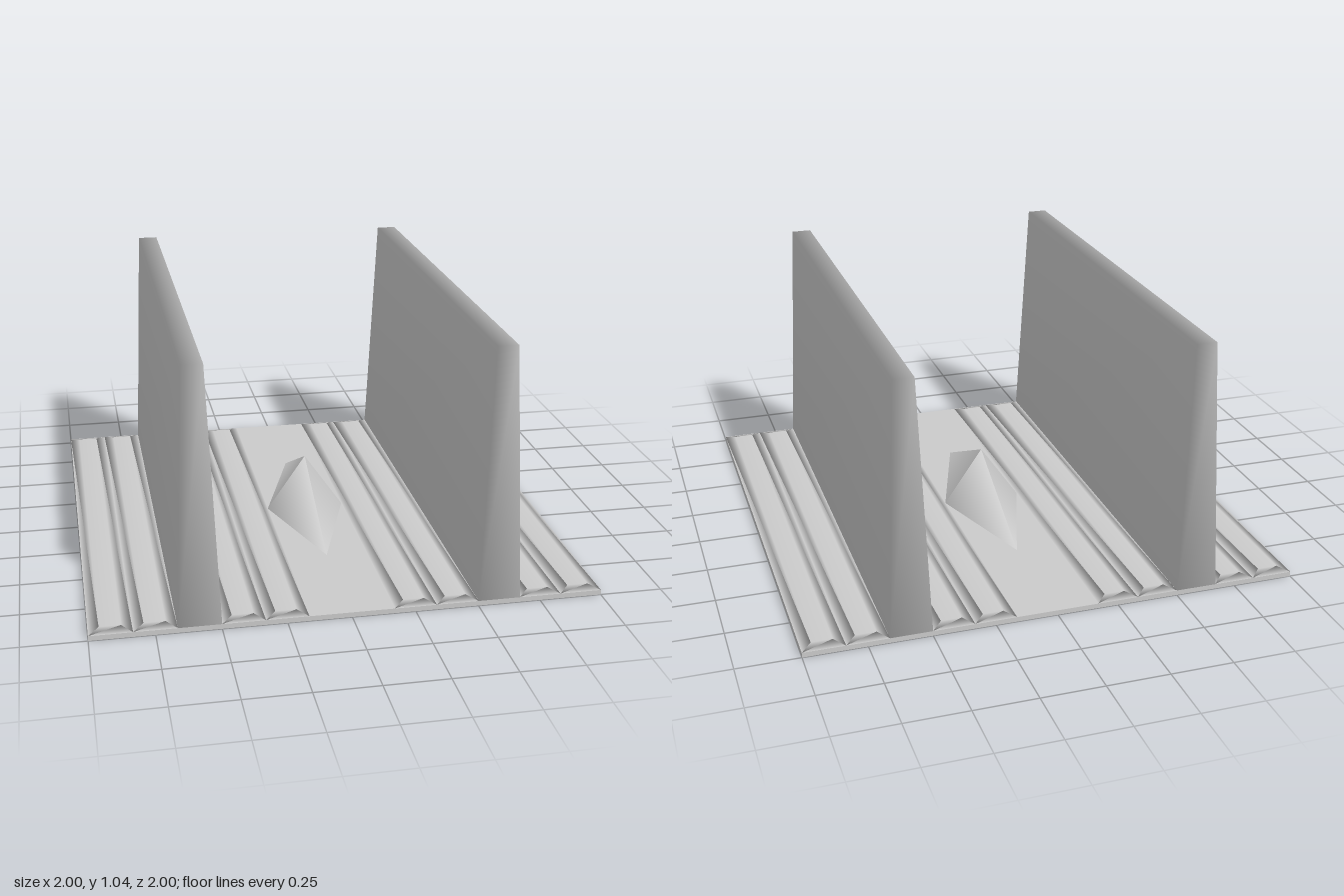
import * as THREE from 'three';
import { mergeVertices } from 'three/addons/utils/BufferGeometryUtils.js';

const FLOOR = 0.02;      // top of the base slab
const CELL = 1 / 6;      // width of one strip
const BEVEL = 0.042;     // inset of every strip's top face

// Full-length bar whose top face is inset on all four sides, with soft shared normals
function taperedBar(width, height) {
  const box = new THREE.BoxGeometry(width, height, 2).translate(0, height / 2, 0);
  const pos = box.attributes.position;
  for (let i = 0; i < pos.count; i++) {
    if (pos.getY(i) > height / 2) {
      pos.setX(i, pos.getX(i) - Math.sign(pos.getX(i)) * BEVEL);
      pos.setZ(i, pos.getZ(i) - Math.sign(pos.getZ(i)) * BEVEL);
    }
  }
  box.deleteAttribute('normal');
  box.deleteAttribute('uv');
  const bar = mergeVertices(box);
  bar.computeVertexNormals();
  return bar;
}

export function createModel() {
  const group = new THREE.Group();
  const material = new THREE.MeshStandardMaterial({ color: 0xcccccc });

  function add(name, geometry, x, y) {
    const mesh = new THREE.Mesh(geometry, material);
    mesh.name = name;
    mesh.position.set(x, y, 0);
    group.add(mesh);
  }

  // Base slab
  add('baseSlab', new THREE.BoxGeometry(2, FLOOR, 2), 0, FLOOR / 2);

  // Walls and low floor strips, mirrored about the middle
  const wall = taperedBar(CELL, 1.02);
  const strip = taperedBar(CELL, 0.012);
  for (const [label, side] of [['left', 1], ['right', -1]]) {
    add(label + 'Wall', wall, side * 3.5 * CELL, FLOOR);
    [1.5, 2.5, 4.5, 5.5].forEach((cell, i) => {
      add(label + 'FloorStrip' + (i + 1), strip, side * cell * CELL, FLOOR);
    });
  }

  // Diamond-based spike in the middle of the channel
  const spike = new THREE.ConeGeometry(1, 0.24, 4, 1, true).scale(CELL, 1, 0.5);
  add('centreSpike', spike, 0, FLOOR + 0.12);

  return group;
}
